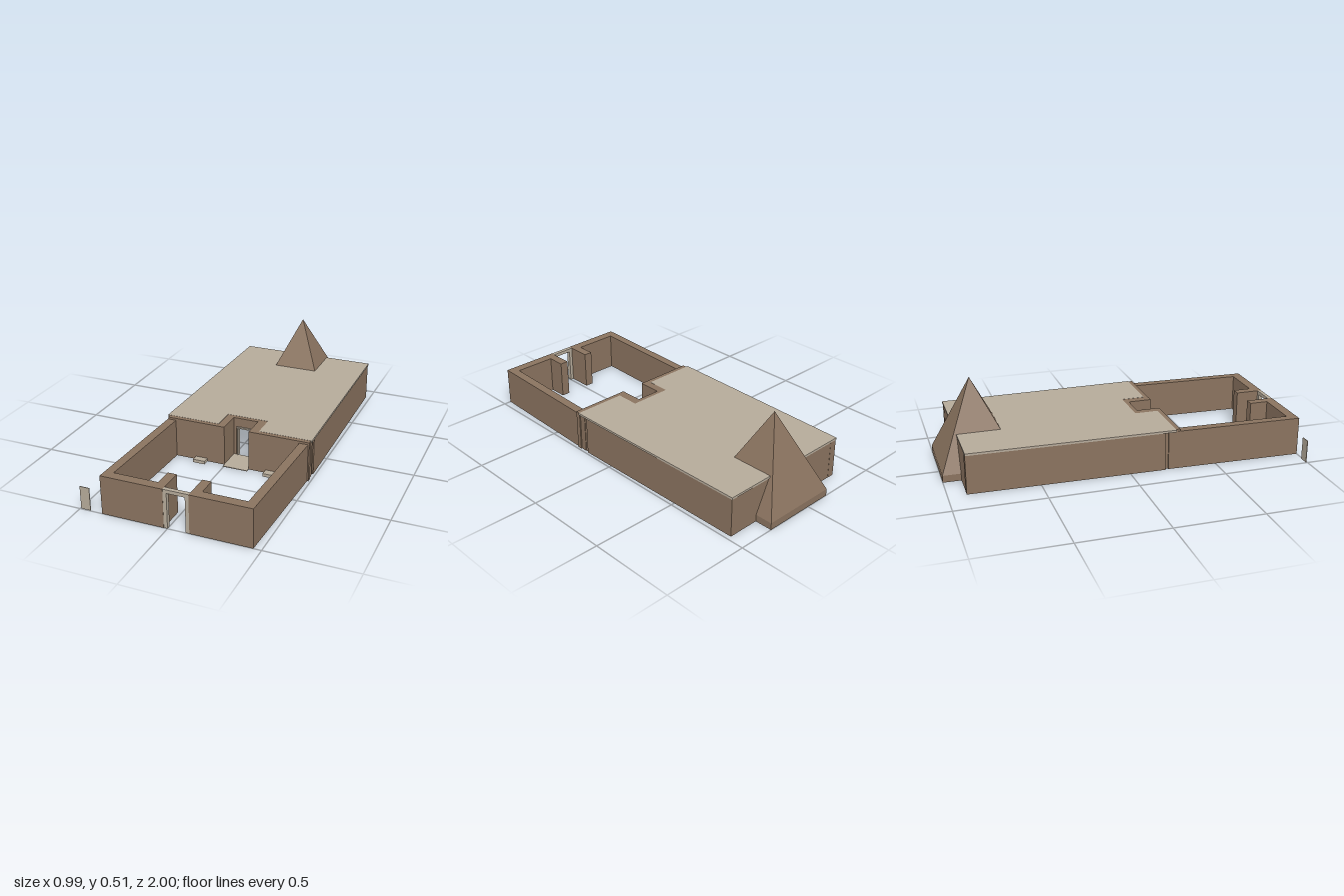
import * as THREE from 'three';

export function createModel() {
  const model = new THREE.Group();
  model.name = 'temple';
  const brick = new THREE.MeshStandardMaterial({ color: 0x8a735f, side: THREE.DoubleSide });
  brick.name = 'mud brick';
  const stone = new THREE.MeshStandardMaterial({ color: 0xb5aa9a, side: THREE.DoubleSide });
  stone.name = 'limestone';

  const add = (name, geometry, material) => {
    const mesh = new THREE.Mesh(geometry, material);
    mesh.name = name;
    model.add(mesh);
    return mesh;
  };
  // Upright prism over a plan outline of [x, z] points
  const prism = (name, plan, y0, y1, material) => {
    const shape = new THREE.Shape(plan.map(([x, z]) => new THREE.Vector2(x, -z)));
    const g = new THREE.ExtrudeGeometry(shape, { depth: y1 - y0, bevelEnabled: false });
    return add(name, g.rotateX(-Math.PI / 2).translate(0, y0, 0), material);
  };
  const box = (name, x0, x1, y0, y1, z0, z1, material) => {
    const g = new THREE.BoxGeometry(x1 - x0, y1 - y0, z1 - z0);
    return add(name, g.translate((x0 + x1) / 2, (y0 + y1) / 2, (z0 + z1) / 2), material);
  };
  // Two posts and a lintel around an opening
  const doorFrame = (name, x0, x1, top, t, z0, z1, material) => {
    box(name + 'PostRight', x0, x0 + t, 0, top, z0, z1, material);
    box(name + 'PostLeft', x1 - t, x1, 0, top, z0, z1, material);
    box(name + 'Lintel', x0 + t, x1 - t, top - t, top, z0, z1, material);
  };

  // Courtyard: two halves of the wall with a gate passage between
  prism('courtyardWallRight', [
    [-0.37, 1], [-0.02, 1], [-0.02, 0.84], [-0.07, 0.84], [-0.07, 0.945],
    [-0.32, 0.945], [-0.297, 0.22], [-0.347, 0.22],
  ], 0, 0.22, brick);
  prism('courtyardWallLeft', [
    [0.458, 1], [0.12, 1], [0.12, 0.84], [0.17, 0.84], [0.17, 0.945],
    [0.41, 0.945], [0.433, 0.22], [0.483, 0.22],
  ], 0, 0.22, brick);
  doorFrame('gate', -0.02, 0.12, 0.22, 0.02, 0.975, 0.999, stone);

  // Detached upright panel beside the gate
  box('standingPanel', -0.495, -0.44, 0, 0.13, 0.992, 0.996, stone);

  // Hall facade, stepping back around the entrance
  prism('facadeRight', [
    [-0.347, 0.285], [-0.005, 0.285], [-0.005, 0.125], [-0.05, 0.125],
    [-0.05, 0.258], [-0.347, 0.258],
  ], 0, 0.232, brick);
  prism('facadeLeft', [
    [0.488, 0.285], [0.14, 0.285], [0.14, 0.125], [0.19, 0.125],
    [0.19, 0.258], [0.488, 0.258],
  ], 0, 0.232, brick);
  box('entranceWallRight', -0.005, 0.01, 0, 0.232, 0.125, 0.15, brick);
  box('entranceWallLeft', 0.1, 0.14, 0, 0.232, 0.125, 0.15, brick);
  box('entranceWallTop', 0.01, 0.1, 0.18, 0.232, 0.125, 0.15, brick);
  doorFrame('entrance', 0.015, 0.1, 0.178, 0.008, 0.13, 0.156, stone);
  box('entranceFloor', -0.005, 0.14, 0, 0.004, 0.15, 0.31, stone);
  box('stepRight', -0.18, -0.11, 0, 0.018, 0.285, 0.325, stone);
  box('stepLeft', 0.24, 0.32, 0, 0.018, 0.285, 0.33, stone);

  // Hall walls
  prism('hallWallRight', [
    [-0.352, 0.2], [-0.332, -0.9], [-0.29, -0.9], [-0.31, 0.2],
  ], 0, 0.221, brick);
  prism('hallWallLeft', [
    [0.487, 0.2], [0.474, -0.9], [0.434, -0.9], [0.447, 0.2],
  ], 0, 0.221, brick);
  box('hallBackWall', -0.332, 0.474, 0, 0.221, -0.899, -0.87, brick);
  box('hallFrontReturnRight', -0.34, -0.31, 0, 0.221, 0.2, 0.26, brick);
  box('hallFrontReturnLeft', 0.447, 0.48, 0, 0.221, 0.2, 0.26, brick);

  // Partition with a framed doorway before the rear chamber
  box('partitionRight', -0.3, 0.01, 0, 0.221, -0.54, -0.51, brick);
  box('partitionLeft', 0.12, 0.36, 0, 0.221, -0.54, -0.51, brick);
  box('partitionTop', 0.01, 0.12, 0.18, 0.221, -0.54, -0.51, brick);
  doorFrame('chamber', 0.01, 0.12, 0.18, 0.012, -0.55, -0.5, stone);
  for (const x of [-0.2, 0.33]) {
    doorFrame('sideDoor', x - 0.05, x + 0.05, 0.17, 0.012, -0.68, -0.66, stone);
  }
  box('innerFloorPlate', 0.3, 0.4, 0, 0.004, -0.07, 0.08, stone);

  // Flat roof, notched around the entrance
  prism('roof', [
    [-0.337, -0.9], [0.477, -0.903], [0.493, 0.259], [0.19, 0.259], [0.19, 0.125],
    [-0.05, 0.125], [-0.05, 0.259], [-0.36, 0.259],
  ], 0.221, 0.233, stone);

  // Solid from four bottom corners to four top corners, listed back right,
  // back left, front left, front right
  const frustum = (name, low, high, material) => {
    const p = [...low, ...high];
    const faces = [[3, 2, 6, 7], [2, 1, 5, 6], [1, 0, 4, 5], [0, 3, 7, 4], [0, 1, 2, 3], [7, 6, 5, 4]];
    const pos = faces.flatMap(([a, b, c, d]) => [a, b, c, a, c, d].flatMap((i) => p[i]));
    const g = new THREE.BufferGeometry();
    g.setAttribute('position', new THREE.Float32BufferAttribute(pos, 3));
    g.computeVertexNormals();
    return add(name, g, material);
  };

  // Pyramid rising through the roof, with its foot behind the hall
  const apex = [0.066, 0.51, -0.797];
  frustum('pyramid', [
    [-0.062, 0.23, -0.918], [0.2, 0.23, -0.918], [0.202, 0.23, -0.655], [-0.06, 0.23, -0.655],
  ], [apex, apex, apex, apex], brick);
  frustum('pyramidFoot', [
    [-0.15, 0.04, -1], [0.29, 0.04, -1], [0.29, 0.04, -0.895], [-0.15, 0.04, -0.895],
  ], [
    [-0.062, 0.23, -0.918], [0.2, 0.23, -0.918], [0.2, 0.23, -0.895], [-0.062, 0.23, -0.895],
  ], brick);
  box('pyramidPlinth', -0.15, 0.29, 0, 0.04, -1, -0.895, brick);

  return model;
}
